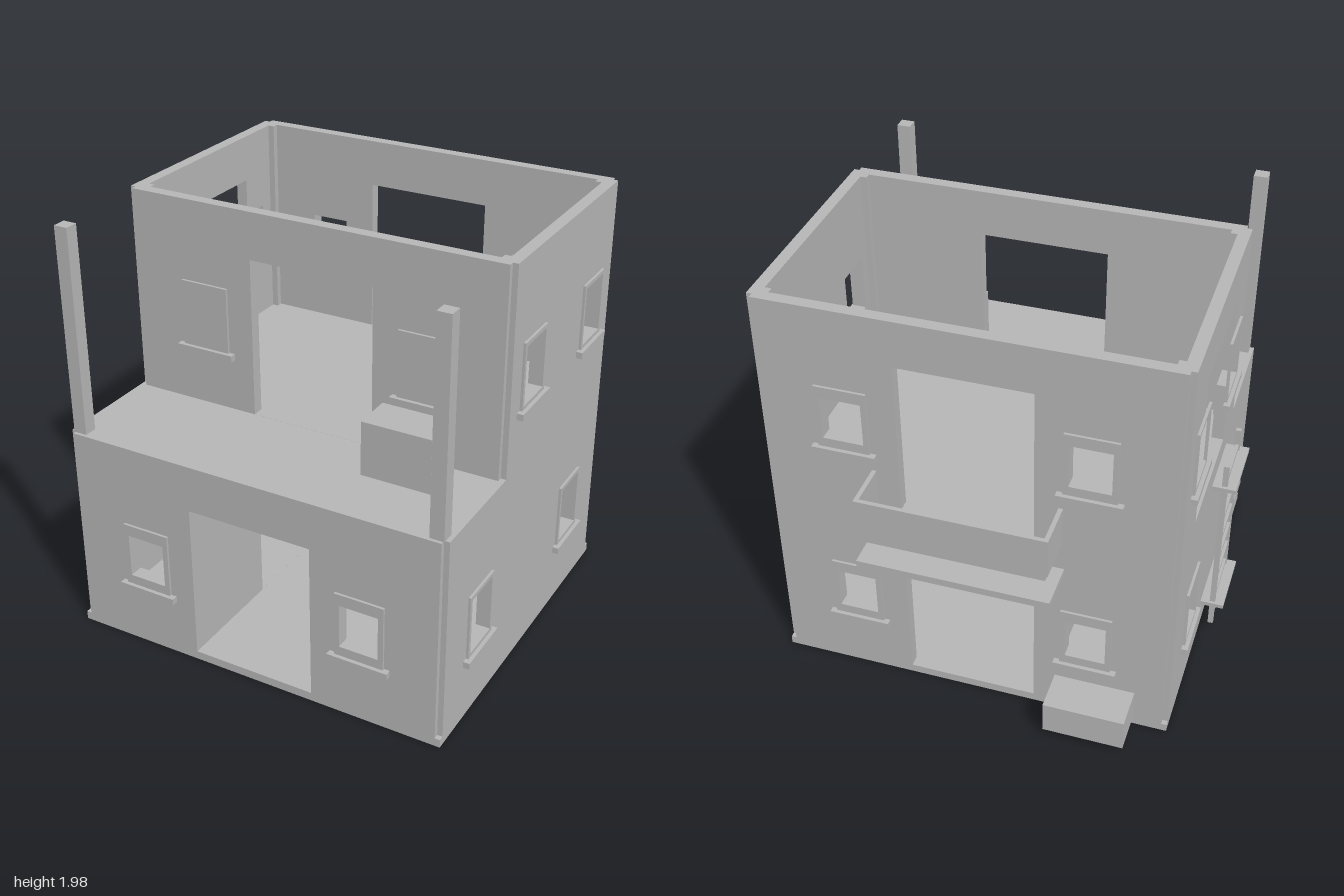
import * as THREE from 'three';

const plaster = new THREE.MeshStandardMaterial({ color: 0xb6b6b6 });
plaster.name = 'plaster grey';

const rect = (u0, u1, v0, v1) => [[u0, v0], [u1, v0], [u1, v1], [u0, v1]];
const toPoints = (list) => list.map(([u, v]) => new THREE.Vector2(u, v));

export function createModel() {
  const house = new THREE.Group();
  house.name = 'house';

  const add = (name, geometry, parent = house) => {
    const mesh = new THREE.Mesh(geometry, plaster);
    mesh.name = name;
    parent.add(mesh);
    return mesh;
  };

  // Box given by its limits on each axis
  const box = (name, x0, x1, y0, y1, z0, z1, parent) => {
    const g = new THREE.BoxGeometry(x1 - x0, y1 - y0, z1 - z0);
    g.translate((x0 + x1) / 2, (y0 + y1) / 2, (z0 + z1) / 2);
    return add(name, g, parent);
  };

  // Upright panel with holes: u runs along x (axis 'z') or along z (axis 'x')
  const panel = (name, outline, holes, axis, from, to, parent) => {
    const shape = new THREE.Shape(toPoints(outline));
    holes.forEach((h) => shape.holes.push(new THREE.Path(toPoints(h))));
    const g = new THREE.ExtrudeGeometry(shape, { depth: to - from, bevelEnabled: false });
    if (axis === 'x') g.rotateY(-Math.PI / 2).translate(to, 0, 0);
    else g.translate(0, 0, from);
    return add(name, g, parent);
  };

  // Main dimensions
  const L = 0.965, R = -0.89, F = 0.945, B = -0.76, UF = 0.405;
  const T = 0.055, N = 0.025;
  const base = 0.04, deck = 1.01, top = 1.98;
  const doorX = [-0.26, 0.34];
  const winX = [-0.5, 0.58];
  const lowZ = [0.598, -0.394], upZ = [0.163, -0.504];
  const lowY = 0.31, upY = 1.29;

  // Window openings
  const holeX = (c, y) => rect(c - 0.092, c + 0.092, y + 0.045, y + 0.255);
  const holeZ = (c, y) => rect(c - 0.1, c + 0.1, y + 0.018, y + 0.292);

  // Base and upper floor
  box('base', R, L, 0, base, B, F);
  box('upperFloor', R + N, L - N, 0.97, deck, B + N, F - N);

  // Front and back walls
  panel('lowerFrontWall', rect(R + N, L - N, base, deck),
    [rect(...doorX, base + 0.0005, 0.79), ...winX.map((c) => holeX(c, lowY))], 'z', F - T, F);
  panel('upperFrontWall', rect(R + N, L - N, deck, top),
    [rect(...doorX, deck + 0.0005, 1.76)], 'z', UF - T, UF);
  panel('backWall', rect(R + N, L - N, base, top),
    [rect(...doorX, base + 0.0005, 0.79), rect(...doorX, deck + 0.0005, 1.76),
      ...winX.flatMap((c) => [holeX(c, lowY), holeX(c, upY)])], 'z', B, B + T);

  // Stepped side walls
  const sideOutline = [[B + N, base], [F - N, base], [F - N, deck], [UF - N, deck],
    [UF - N, top], [B + N, top]];
  const lowHoles = lowZ.map((c) => holeZ(c, lowY));
  panel('leftWall', sideOutline, [...lowHoles, ...upZ.map((c) => holeZ(c, upY))], 'x', L - T, L);

  // The right wall has a side door that merges with the upper windows
  const w0 = upY + 0.018, w1 = upY + 0.292;
  const sideDoor = [[-0.46, deck + 0.0005], [0.14, deck + 0.0005], [0.14, w0], [0.263, w0],
    [0.263, w1], [0.14, w1], [0.14, 1.76], [-0.46, 1.76], [-0.46, w1], [-0.604, w1],
    [-0.604, w0], [-0.46, w0]];
  panel('rightWall', sideOutline, [...lowHoles, sideDoor], 'x', R, R + T);

  // Corner posts inside the notched corners
  const P = 0.06;
  for (const x of [R + N, L - N - P]) {
    box('backCornerPost', x, x + P, base, top, B + N, B + N + P);
    box('upperCornerPost', x, x + P, deck, top, UF - N - P, UF - N);
    box('lowerCornerPost', x, x + P, base, deck, F - N - P, F - N);
  }

  // Ground floor partition with a doorway
  panel('partition', rect(B + T, F - T, base, 0.97),
    [rect(-0.21, 0.39, base + 0.0005, 0.79)], 'x', -0.315, -0.26);

  // Window surrounds with sills
  const addWindow = (axis, face, dir, c, y, closed = false) => {
    const g = new THREE.Group();
    g.name = 'window';
    house.add(g);
    const span = (d) => (dir > 0 ? [face, face + d] : [face - d, face]);
    const holes = closed ? [] : [axis === 'z' ? holeX(c, y) : holeZ(c, y)];
    panel(closed ? 'shutter' : 'windowFrame', rect(c - 0.117, c + 0.117, y, y + 0.31),
      holes, axis, ...span(0.012), g);
    panel('windowSill', rect(c - 0.144, c + 0.144, y - 0.03, y), [], axis, ...span(0.03), g);
  };
  for (const c of winX) {
    addWindow('z', F, 1, c, lowY);
    addWindow('z', UF, 1, c, upY, true);
    addWindow('z', B, -1, c, lowY);
    addWindow('z', B, -1, c, upY);
  }
  for (const [face, dir] of [[L, 1], [R, -1]]) {
    lowZ.forEach((c) => addWindow('x', face, dir, c, lowY));
    upZ.forEach((c) => addWindow('x', face, dir, c, upY));
  }

  // Terrace posts and crate
  box('terracePost', -0.87, -0.805, deck, top, 0.867, 0.93);
  box('terracePost', 0.88, 0.945, deck, top, 0.867, 0.93);
  box('terraceCrate', 0.415, 0.742, deck, 1.265, 0.45, 0.64);

  // Balcony over the back door, with a canopy below
  const balcony = new THREE.Group();
  balcony.name = 'balcony';
  house.add(balcony);
  box('balconyFloor', -0.37, 0.45, 0.97, deck, -0.96, B, balcony);
  box('balconyFrontRail', -0.385, 0.463, deck, 1.2, -0.975, -0.955, balcony);
  box('balconySideRail', -0.385, -0.365, deck, 1.2, -0.955, B, balcony);
  box('balconySideRail', 0.443, 0.463, deck, 1.2, -0.955, B, balcony);
  box('canopy', -0.395, 0.472, 0.83, 0.865, -0.978, B);

  // Low box beside the back door
  box('backCrate', -0.733, -0.36, base, 0.2, -0.95, B);

  // Ladder on the right wall
  const ladder = new THREE.Group();
  ladder.name = 'ladder';
  house.add(ladder);
  for (const z of [-0.055, 0.225]) box('ladderRail', -0.957, -0.932, 0.03, deck, z, z + 0.022, ladder);
  for (const y of [0.155, 0.877]) box('ladderBracket', -1, R, y, y + 0.02, -0.07, 0.26, ladder);
  for (let i = 0; i < 8; i++) {
    const y = 0.07 + i * 0.12;
    box('ladderRung', -0.954, -0.935, y, y + 0.02, -0.035, 0.227, ladder);
  }

  return house;
}
